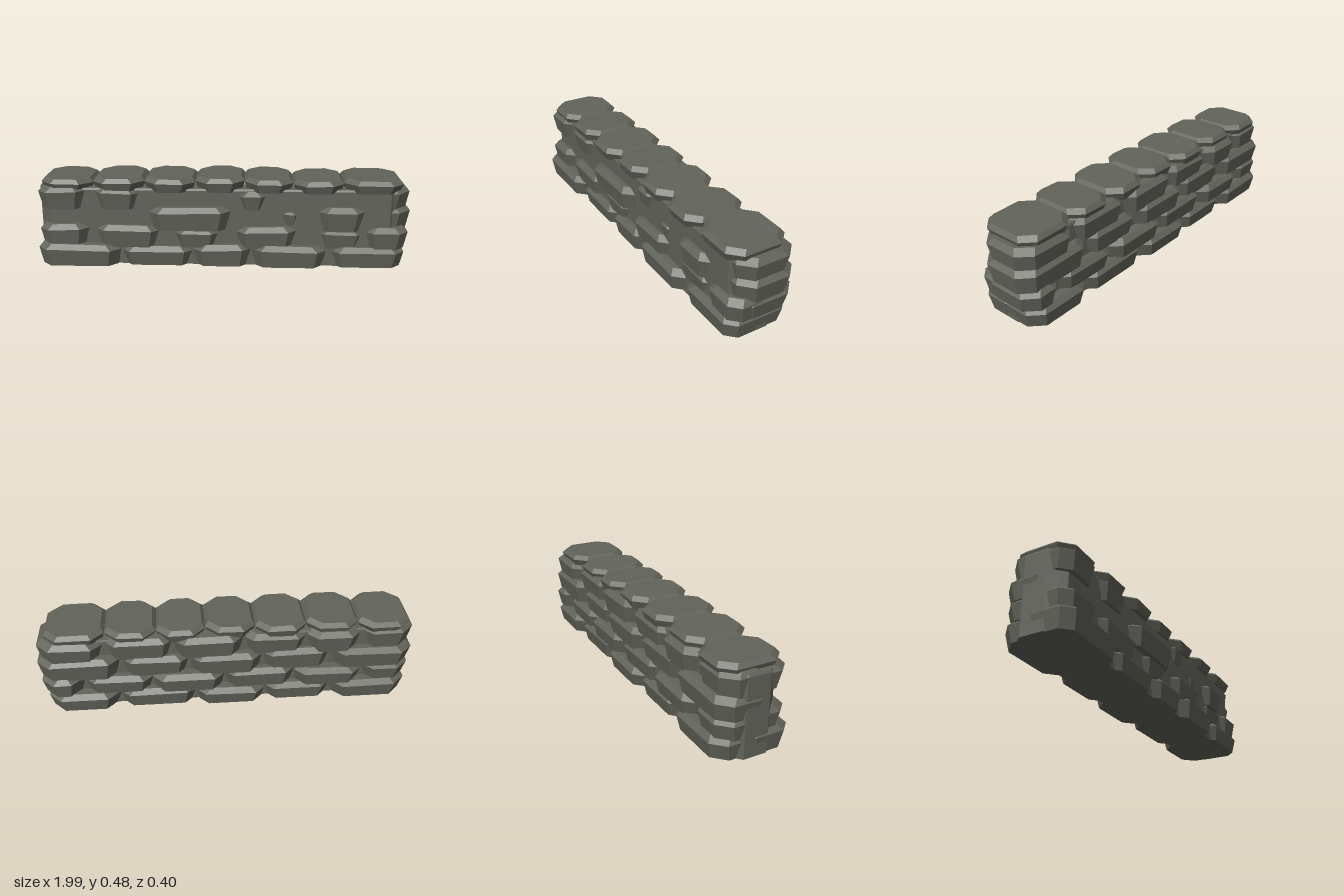
import * as THREE from 'three';

const stoneGrey = new THREE.MeshStandardMaterial({ color: 0x62635a });
stoneGrey.name = 'stoneGrey';

// Eight-sided plan outline: a rectangle with cut corners
function outline(x0, x1, z0, z1, c) {
  return [[x1, z0 + c], [x1, z1 - c], [x1 - c, z1], [x0 + c, z1],
    [x0, z1 - c], [x0, z0 + c], [x0 + c, z0], [x1 - c, z0]];
}

// Faceted block: narrow foot, wide shoulder, bevelled top
function stone(name, x0, x1, y0, y1, z0, z1, opt = {}) {
  const { cut = 0.05, foot = 0.015, bevel = 0.025, drop = 0.026, tilt = 0 } = opt;
  const c = Math.min(cut, (x1 - x0) * 0.3, (z1 - z0) * 0.4);
  const levels = [[y0, foot, 0], [y1 - drop, 0, tilt], [y1, bevel, tilt]];
  const mid = (x0 + x1) / 2, half = (x1 - x0) / 2;
  const rings = levels.map(([y, inset, lean]) =>
    outline(x0 + inset, x1 - inset, z0 + inset, z1 - inset, c)
      .map(([x, z]) => [x, y + lean * (x - mid) / half, z]));
  const pos = [];
  const tri = (a, b, d) => pos.push(...a, ...b, ...d);
  for (let r = 0; r < 2; r++) {
    for (let i = 0; i < 8; i++) {
      const j = (i + 1) % 8, lo = rings[r], hi = rings[r + 1];
      tri(lo[i], hi[i], lo[j]);
      tri(lo[j], hi[i], hi[j]);
    }
  }
  for (let i = 1; i < 7; i++) {
    tri(rings[2][0], rings[2][i + 1], rings[2][i]);
    tri(rings[0][0], rings[0][i], rings[0][i + 1]);
  }
  const geo = new THREE.BufferGeometry();
  geo.setAttribute('position', new THREE.Float32BufferAttribute(pos, 3));
  geo.computeVertexNormals();
  const mesh = new THREE.Mesh(geo, stoneGrey);
  mesh.name = name;
  return mesh;
}

export function createModel() {
  const wall = new THREE.Group();
  wall.name = 'stoneWall';

  // Solid middle showing between the front stones
  wall.add(stone('wallCore', -0.985, 0.95, 0, 0.42, -0.13, 0.132,
    { cut: 0.07, foot: 0, bevel: 0.005, drop: 0.01 }));

  // Scattered front stones: left, right, bottom, top, front
  const front = [
    [-0.99, -0.55, 0, 0.118, 0.2], [-0.55, -0.155, 0, 0.105, 0.172],
    [-0.165, 0.155, 0, 0.118, 0.178], [0.155, 0.55, 0, 0.118, 0.188],
    [0.57, 0.965, 0, 0.11, 0.17],
    [-0.98, -0.71, 0.1, 0.225, 0.178], [-0.685, -0.33, 0.1, 0.22, 0.17],
    [-0.27, -0.01, 0.1, 0.205, 0.165], [0.065, 0.395, 0.1, 0.22, 0.175],
    [0.49, 0.76, 0.1, 0.205, 0.15], [0.74, 0.98, 0.1, 0.22, 0.165],
    [-0.39, 0.04, 0.2, 0.325, 0.185], [0.29, 0.42, 0.2, 0.312, 0.143],
    [0.495, 0.755, 0.2, 0.33, 0.172],
    [-0.98, -0.72, 0.31, 0.43, 0.172], [-0.69, -0.43, 0.31, 0.425, 0.165],
    [0.06, 0.25, 0.31, 0.41, 0.155],
  ];
  const frontStones = new THREE.Group();
  frontStones.name = 'frontStones';
  front.forEach(([x0, x1, y0, y1, z], i) => frontStones.add(
    stone('frontStone', x0, x1, y0, y1, -0.05, z, { tilt: (i % 3 - 1) * 0.004 })));
  wall.add(frontStones);

  // Full rows along the back; the outer stones wrap round the ends
  const rows = [
    { y0: 0, y1: 0.108, z: -0.2, ends: [-0.975, 0.96], joints: [-0.56, -0.2, 0.17, 0.58] },
    { y0: 0.1, y1: 0.212, z: -0.2, ends: [-0.985, 0.985], joints: [-0.72, -0.36, 0.02, 0.4, 0.76] },
    { y0: 0.2, y1: 0.325, z: -0.19, ends: [-0.99, 0.995], joints: [-0.55, -0.18, 0.2, 0.56] },
    { y0: 0.307, y1: 0.433, z: -0.185, ends: [-0.985, 0.985], joints: [-0.7, -0.42, -0.08, 0.28, 0.64] },
  ];
  const backStones = new THREE.Group();
  backStones.name = 'backStones';
  rows.forEach(({ y0, y1, z, ends, joints }, r) => {
    const xs = [ends[0], ...joints, ends[1]];
    for (let i = 0; i < xs.length - 1; i++) {
      const first = i === 0, last = i === xs.length - 2;
      const back = z + ((i + r) % 2) * 0.016;
      const reach = last ? 0.125 : first ? 0.08 : 0.05;
      backStones.add(stone(first || last ? 'endStone' : 'backStone',
        xs[i], xs[i + 1], y0, y1 - ((i + r) % 3) * 0.004, back, reach,
        { cut: first || last ? 0.065 : 0.05, tilt: ((i + r) % 3 - 1) * 0.003 }));
    }
  });
  wall.add(backStones);

  // Capping slabs across the top
  const capJoints = [-0.965, -0.69, -0.415, -0.145, 0.115, 0.37, 0.635, 0.945];
  const capTops = [0.468, 0.475, 0.475, 0.48, 0.475, 0.47, 0.473];
  const caps = new THREE.Group();
  caps.name = 'capStones';
  capTops.forEach((top, i) => caps.add(stone('capStone',
    capJoints[i], capJoints[i + 1], 0.405, top,
    -0.168 + (i % 2) * 0.006, 0.16 + (i % 3) * 0.005,
    { cut: 0.062, bevel: 0.018, drop: 0.022, tilt: (i % 2 ? 1 : -1) * 0.002 })));
  wall.add(caps);

  return wall;
}
